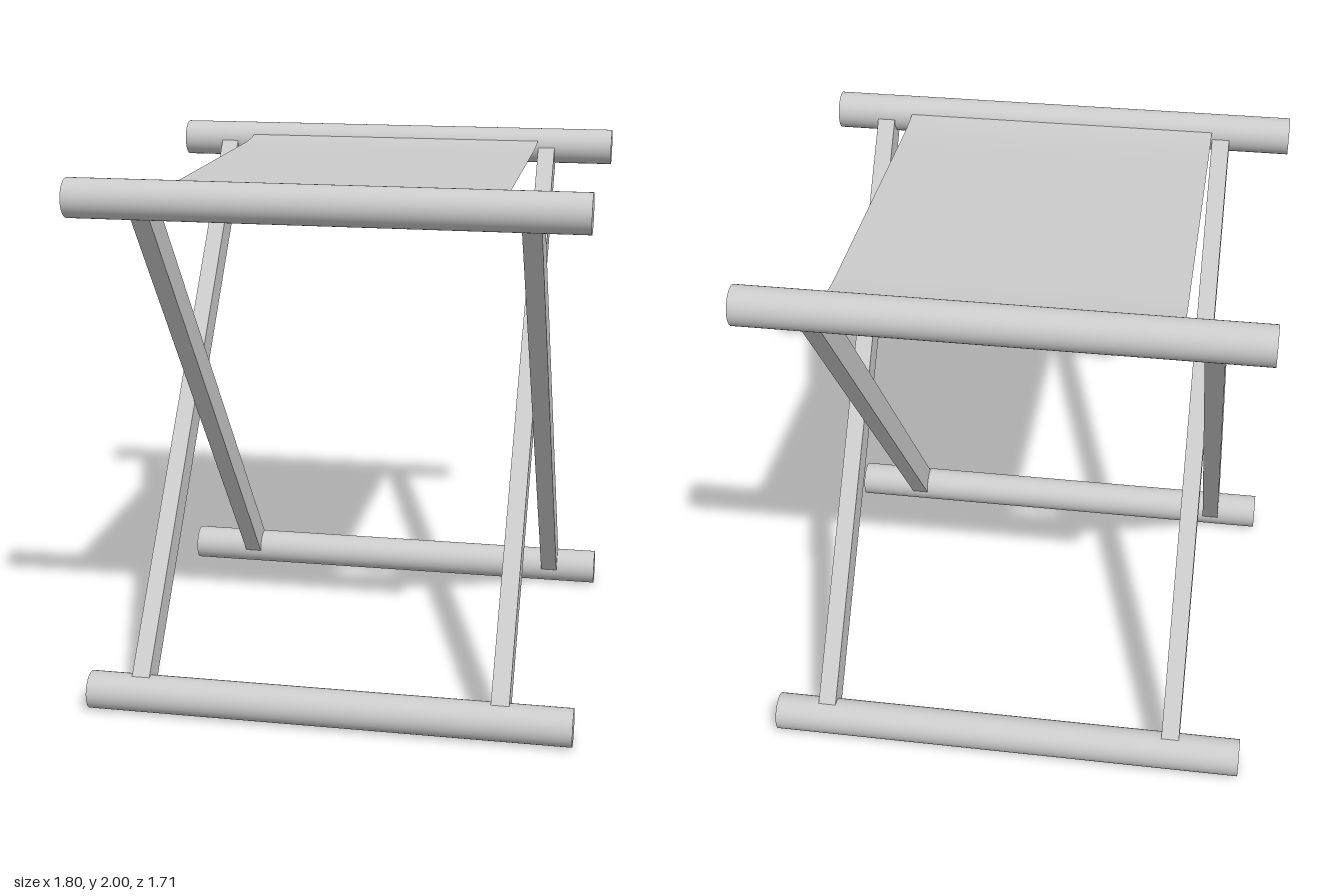
import * as THREE from 'three';

const RAIL_R = 0.07, RAIL_LEN = 1.8;
const TOP = { y: 1.93, z: 0.785 }, BOTTOM = { y: 0.07, z: 0.777 };
const LEG_X = 0.067, LEG_DEPTH = 0.106;

export function createModel() {
  const group = new THREE.Group();
  const material = new THREE.MeshStandardMaterial({ color: 0xcccccc });

  const add = (parent, name, geometry, mat = material) => {
    const mesh = new THREE.Mesh(geometry, mat);
    mesh.name = name;
    parent.add(mesh);
    return mesh;
  };

  // Round horizontal bar along x
  const addRail = (parent, name, y, z) => {
    const rail = add(parent, name, new THREE.CylinderGeometry(RAIL_R, RAIL_R, RAIL_LEN, 40));
    rail.rotation.z = Math.PI / 2;
    rail.position.set(0, y, z);
  };

  // One folding frame: two rails joined by two slanted legs; side = z sign of the top rail
  const addFrame = (name, side, legXs) => {
    const frame = new THREE.Group();
    frame.name = name;
    group.add(frame);
    addRail(frame, 'topRail', TOP.y, side * TOP.z);
    addRail(frame, 'bottomRail', BOTTOM.y, -side * BOTTOM.z);
    const dy = TOP.y - BOTTOM.y, dz = side * (TOP.z + BOTTOM.z);
    for (const x of legXs) {
      const leg = add(frame, 'leg', new THREE.BoxGeometry(LEG_X, Math.hypot(dy, dz), LEG_DEPTH));
      leg.rotation.x = Math.atan2(dz, dy);
      leg.position.set(x, (TOP.y + BOTTOM.y) / 2, side * (TOP.z - BOTTOM.z) / 2);
    }
  };

  // The frames are shifted sideways so that their legs pass each other
  addFrame('frontTopFrame', 1, [-0.636, 0.704]);
  addFrame('backTopFrame', -1, [-0.704, 0.636]);

  // Fabric seat, rising slightly where it meets the rails
  const seat = new THREE.PlaneGeometry(1.2, 1.45, 1, 24);
  seat.rotateX(-Math.PI / 2);
  const pos = seat.attributes.position;
  for (let i = 0; i < pos.count; i++) {
    const t = Math.max(0, (Math.abs(pos.getZ(i)) - 0.56) / 0.165);
    pos.setY(i, 1.943 + 0.013 * t * t);
  }
  seat.computeVertexNormals();
  const fabric = material.clone();
  fabric.side = THREE.DoubleSide;
  add(group, 'fabricSeat', seat, fabric);

  return group;
}
